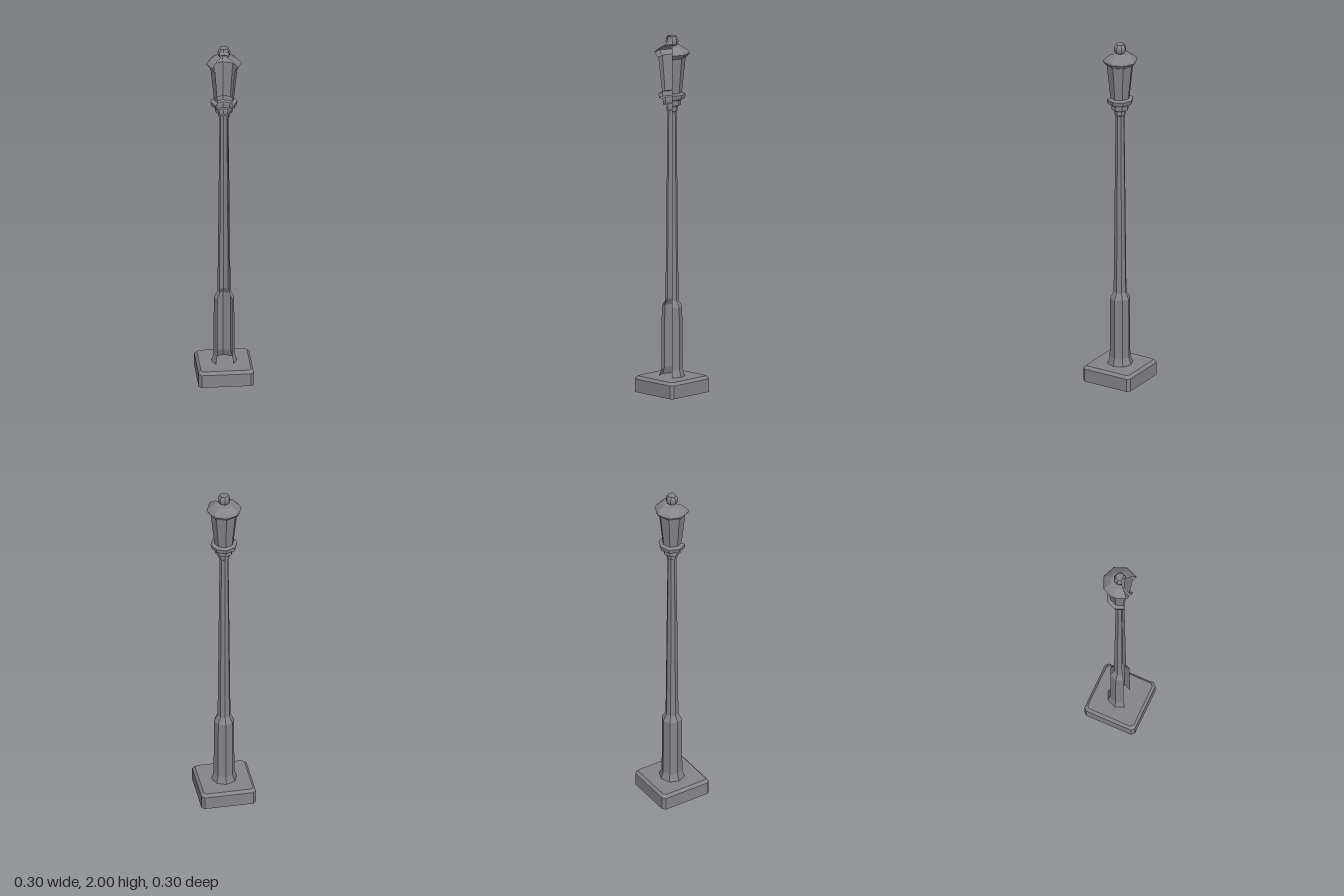
import * as THREE from 'three';

const iron = new THREE.MeshStandardMaterial({ color: 0x85858a, flatShading: true, side: THREE.DoubleSide });
iron.name = 'grey iron';

// Six sides of an octagon, open towards the front
const SIDES = 6, START = Math.PI / 4, SWEEP = Math.PI * 1.5;

function addMesh(group, name, geometry) {
  const mesh = new THREE.Mesh(geometry, iron);
  mesh.name = name;
  group.add(mesh);
  return mesh;
}

function addTurned(group, name, profile) {
  const points = profile.map(([r, y]) => new THREE.Vector2(r, y));
  return addMesh(group, name, new THREE.LatheGeometry(points, SIDES, START, SWEEP));
}

// Square ring with cut corners, counter-clockwise seen from above
function cutSquare(half, cut, y) {
  const ring = [];
  for (let i = 0; i < 4; i++) {
    const a = i * Math.PI / 2, c = Math.cos(a), s = Math.sin(a);
    for (const z of [half - cut, cut - half]) {
      ring.push([c * half + s * z, y, c * z - s * half]);
    }
  }
  return ring;
}

// Hollow plinth: walls, sloped rim and top, open underneath
function plinthGeometry() {
  const rings = [
    cutSquare(0.152, 0.016, 0),
    cutSquare(0.152, 0.016, 0.074),
    cutSquare(0.138, 0.014, 0.09),
    cutSquare(0, 0, 0.09),
  ];
  const position = [];
  for (let k = 0; k < rings.length - 1; k++) {
    for (let i = 0; i < 8; i++) {
      const j = (i + 1) % 8;
      const a = rings[k][i], b = rings[k][j], c = rings[k + 1][j], d = rings[k + 1][i];
      position.push(...a, ...b, ...c);
      if (k < 2) position.push(...a, ...c, ...d);
    }
  }
  const geometry = new THREE.BufferGeometry();
  geometry.setAttribute('position', new THREE.Float32BufferAttribute(position, 3));
  geometry.computeVertexNormals();
  return geometry;
}

// Flat cap closing the open octagon
function capGeometry(radius) {
  const points = [];
  for (let i = 0; i <= SIDES; i++) {
    const a = START + SWEEP * i / SIDES;
    points.push(new THREE.Vector2(radius * Math.sin(a), -radius * Math.cos(a)));
  }
  return new THREE.ShapeGeometry(new THREE.Shape(points)).rotateX(-Math.PI / 2);
}

export function createModel() {
  const lamp = new THREE.Group();
  lamp.name = 'streetLamp';

  addMesh(lamp, 'plinth', plinthGeometry());
  addTurned(lamp, 'pedestal', [[0.071, 0.09], [0.058, 0.13], [0.056, 0.48], [0.036, 0.515]]);
  addTurned(lamp, 'shaft', [[0.036, 0.515], [0.025, 1.575]]);

  // Stacked rings between the shaft and the lantern
  addTurned(lamp, 'collar', [
    [0.025, 1.575], [0.031, 1.58], [0.031, 1.6], [0.036, 1.61], [0.049, 1.613],
    [0.049, 1.635], [0.053, 1.645], [0.07, 1.65], [0.075, 1.675], [0.054, 1.682],
  ]);
  addTurned(lamp, 'lanternBody', [[0.054, 1.682], [0.075, 1.88]]);
  addTurned(lamp, 'roof', [
    [0.075, 1.88], [0.083, 1.885], [0.098, 1.905], [0.092, 1.914],
    [0.08, 1.925], [0.055, 1.941], [0.022, 1.946],
  ]);

  // Ball finial with a flat top
  addTurned(lamp, 'finial', [
    [0.022, 1.946], [0.032, 1.956], [0.035, 1.972], [0.033, 1.986], [0.024, 2],
  ]);
  addMesh(lamp, 'finialCap', capGeometry(0.024)).position.y = 2;

  return lamp;
}
